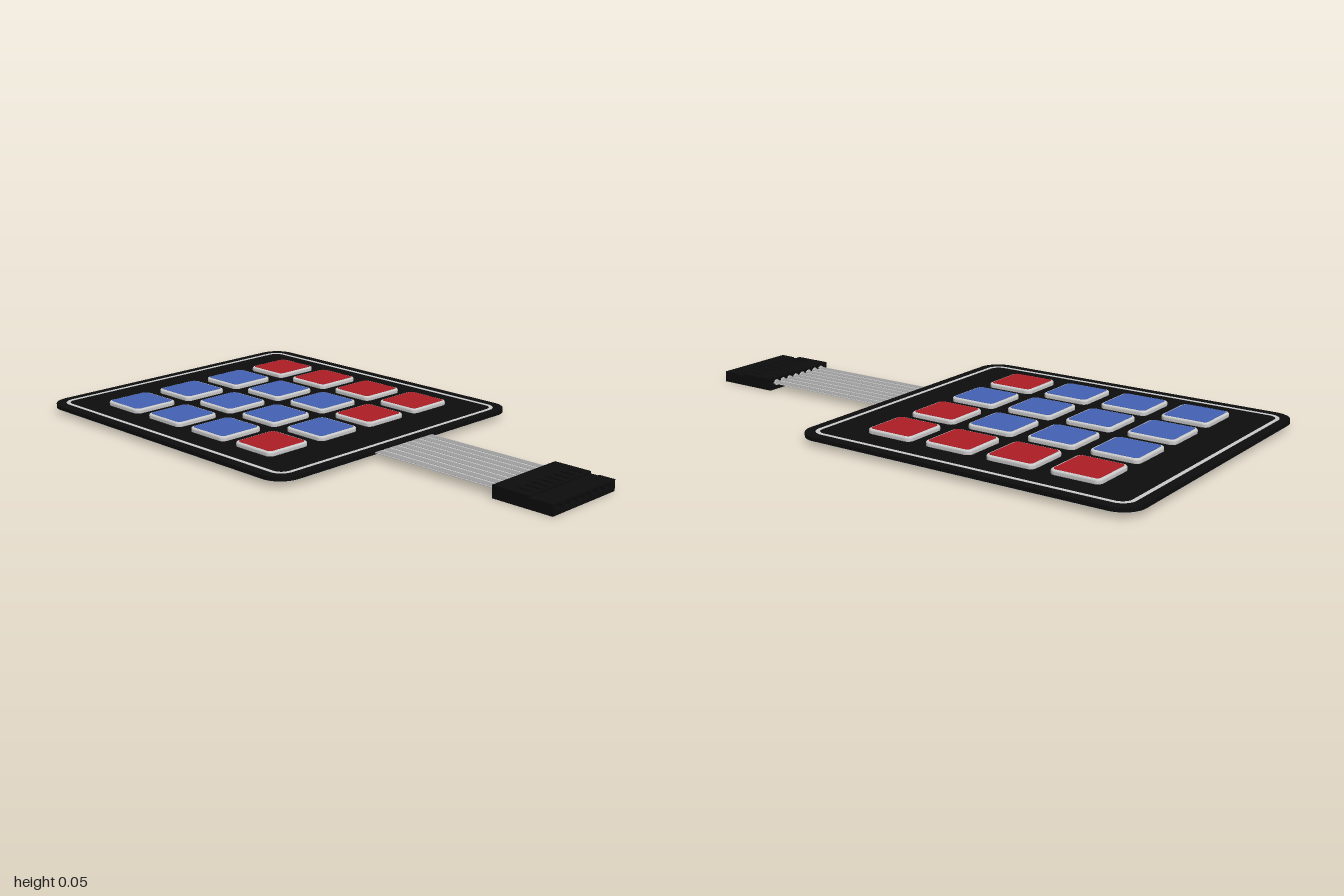
import * as THREE from 'three';

const mat = (color) => new THREE.MeshStandardMaterial({ color });
const grey = mat(0xcccccc);
const black = mat(0x0d0d0d);
const blue = mat(0x4463b5);
const red = mat(0xae1d26);
const dim = mat(0xa0a0a0);

// Rounded rectangle outline, centred on the origin
function roundRect(w, h, r, Type = THREE.Shape) {
  const s = new Type();
  const x = w / 2, y = h / 2;
  s.moveTo(-x + r, -y);
  s.lineTo(x - r, -y);
  s.absarc(x - r, -y + r, r, -Math.PI / 2, 0);
  s.lineTo(x, y - r);
  s.absarc(x - r, y - r, r, 0, Math.PI / 2);
  s.lineTo(-x + r, y);
  s.absarc(-x + r, y - r, r, Math.PI / 2, Math.PI);
  s.lineTo(-x, -y + r);
  s.absarc(-x + r, -y + r, r, Math.PI, Math.PI * 1.5);
  return s;
}

function rect(x0, x1, y0, y1, Type = THREE.Path) {
  return new Type([[x0, y0], [x1, y0], [x1, y1], [x0, y1]].map(([x, y]) => new THREE.Vector2(x, y)));
}

// Horizontal slab standing on y = 0 with an optional bevelled top
function slab(shape, height, bevel = 0) {
  const g = new THREE.ExtrudeGeometry(shape, {
    depth: height - 2 * bevel, curveSegments: 8, bevelEnabled: bevel > 0,
    bevelSize: bevel, bevelOffset: -bevel, bevelThickness: bevel, bevelSegments: 3,
  });
  return g.translate(0, 0, bevel).rotateX(-Math.PI / 2);
}

function add(parent, name, geometry, material, x = 0, y = 0, z = 0) {
  const m = new THREE.Mesh(geometry, material);
  m.name = name;
  m.position.set(x, y, z);
  parent.add(m);
  return m;
}

const box = (w, h, d) => new THREE.BoxGeometry(w, h, d);

export function createModel() {
  const model = new THREE.Group();
  model.name = 'membraneKeypad';

  // Panel with its adhesive backing and printed border
  const panel = new THREE.Group();
  panel.name = 'panel';
  model.add(panel);
  const panelZ = -0.369;
  add(panel, 'panelBody', slab(roundRect(1.15, 1.262, 0.08), 0.014), black, 0, 0.02, panelZ);
  add(panel, 'adhesiveBacking', slab(roundRect(1.148, 1.26, 0.08), 0.002), grey, 0, 0.018, panelZ);
  const border = roundRect(1.08, 1.195, 0.05);
  border.holes.push(roundRect(1.052, 1.167, 0.037, THREE.Path));
  add(panel, 'borderLine', slab(border, 0.001), grey, 0, 0.034, panelZ);

  // Four by four keys: the right column and two bottom keys are red
  const keys = new THREE.Group();
  keys.name = 'keys';
  model.add(keys);
  const keyBase = slab(roundRect(0.18, 0.18, 0.022), 0.02, 0.006);
  const keyFace = slab(roundRect(0.162, 0.162, 0.014), 0.001);
  for (let row = 0; row < 4; row++) {
    for (let col = 0; col < 4; col++) {
      const x = -0.352 + col * 0.2335;
      const z = -0.725 + row * 0.235;
      const isRed = col === 3 || (row === 3 && col !== 1);
      add(keys, 'keyBase', keyBase, grey, x, 0.03, z);
      add(keys, 'keyFace', keyFace, isRed ? red : blue, x, 0.05, z);
    }
  }

  // Flat ribbon cable with printed conductors
  const cable = new THREE.Group();
  cable.name = 'ribbonCable';
  model.add(cable);
  const cx = -0.006, pitch = 0.0355, midY = 0.026;
  const slotX = (i) => (i - 3.5) * pitch;
  add(cable, 'ribbon', box(0.284, 0.003, 0.56), grey, cx, midY, 0.51);
  for (let i = 0; i < 8; i++) {
    add(cable, 'conductor', box(0.027, 0.001, 0.53), dim, cx + slotX(i), midY + 0.0018, 0.505);
  }

  // Connector housing with eight sockets running front to back
  const plug = new THREE.Group();
  plug.name = 'connector';
  plug.position.x = cx;
  model.add(plug);
  const face = rect(-0.159, 0.159, 0, 0.036, THREE.Shape);
  const lid = rect(-0.159, 0.159, -0.91, -0.77, THREE.Shape);
  for (let i = 0; i < 8; i++) {
    const x = slotX(i);
    face.holes.push(rect(x - 0.012, x + 0.012, 0.017, 0.033));
    lid.holes.push(rect(x - 0.005, x + 0.005, -0.9, -0.84));
  }
  const housing = new THREE.ExtrudeGeometry(face, { depth: 0.23, bevelEnabled: false });
  add(plug, 'housing', housing, black, 0, 0, 0.77);
  add(plug, 'housingLid', slab(lid, 0.008), black, 0, 0.036, 0);
  add(plug, 'frontLip', box(0.318, 0.003, 0.06), black, 0, 0.0375, 0.97);

  // Metal contacts inside the sockets and crimps at the cable end
  const crimp = new THREE.CylinderGeometry(0.011, 0.011, 0.012, 12).rotateX(Math.PI / 2);
  for (let i = 0; i < 8; i++) {
    add(plug, 'socketBack', box(0.024, 0.016, 0.01), black, slotX(i), 0.025, 0.95);
    add(plug, 'contact', box(0.014, 0.004, 0.04), dim, slotX(i), 0.025, 0.965);
    add(plug, 'crimp', crimp, grey, slotX(i), midY, 0.773);
  }
  return model;
}
